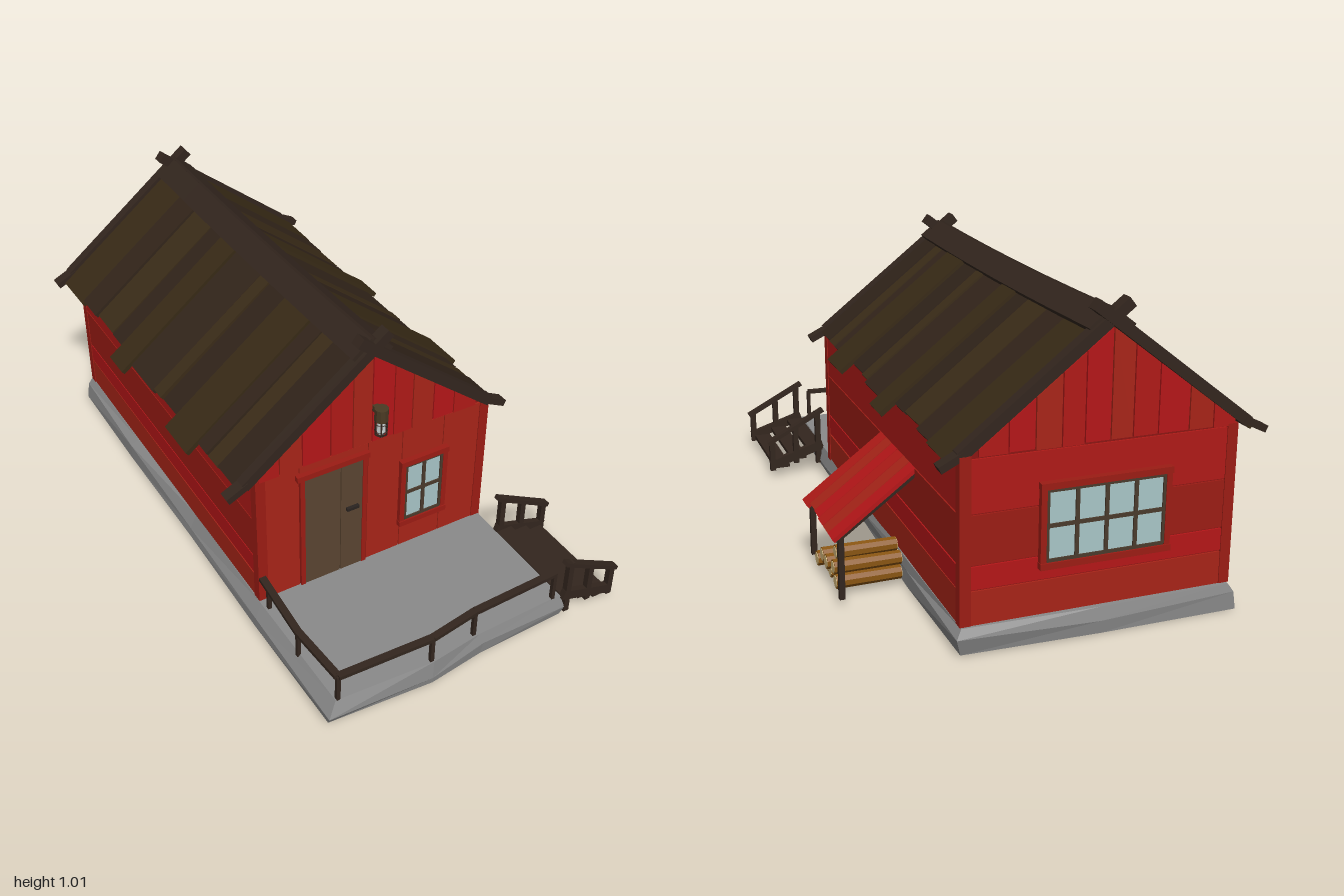
import * as THREE from 'three';

const RED = [0xb01a17, 0xa82418, 0xb51618, 0x9c1c14];
const ROOF = [0x382a16, 0x33251a, 0x3b2c18, 0x302319];
const BEAM = 0x33261e, STONE = 0x8a8a8a, GLASS = 0xa9c6c8;
const RX = -0.1, X0 = -0.505, X1 = 0.345, Z0 = -0.965, Z1 = 0.48;

const mats = {};
const mat = (color) => (mats[color] ??= new THREE.MeshStandardMaterial({ color, flatShading: true }));
const V = (x, y, z) => new THREE.Vector3(x, y, z);

// repeatable irregularity in -1..1
const wob = (i) => Math.sin(i * 12.9898 + 1.7) * Math.cos(i * 4.137);

function add(parent, name, geo, color, x = 0, y = 0, z = 0) {
  const m = new THREE.Mesh(geo, mat(color));
  m.name = name;
  m.position.set(x, y, z);
  parent.add(m);
  return m;
}

const box = (p, name, color, w, h, d, x, y, z) => add(p, name, new THREE.BoxGeometry(w, h, d), color, x, y, z);

// board running from a to b, w wide and h thick, its far end scaled by taper
function beam(p, name, color, a, b, w, h, taper = 1, up = V(0, 1, 0)) {
  const dir = b.clone().sub(a), len = dir.length();
  dir.normalize();
  if (Math.abs(dir.dot(up)) > 0.99) up = V(0, 0, 1);
  const side = up.clone().cross(dir).normalize();
  const geo = new THREE.BoxGeometry(w, h, len), pos = geo.attributes.position;
  for (let i = 0; i < pos.count; i++) if (pos.getZ(i) > 0) pos.setX(i, pos.getX(i) * taper);
  geo.applyMatrix4(new THREE.Matrix4().makeBasis(side, dir.clone().cross(side), dir));
  const c = a.clone().add(b).multiplyScalar(0.5);
  return add(p, name, geo, color, c.x, c.y, c.z);
}

function group(parent, name) {
  const g = new THREE.Group();
  g.name = name;
  parent.add(g);
  return g;
}

function extrude(points, depth) {
  const s = new THREE.Shape(points.map(([x, y]) => new THREE.Vector2(x, y)));
  return new THREE.ExtrudeGeometry(s, { depth, bevelEnabled: false });
}

// rough stone slab: stacked rings around an uneven outline
function foundation(root) {
  const outline = [[-0.51, 0.97], [-0.17, 0.99], [0.02, 0.965], [0.345, 0.955], [0.35, 0.5], [0.345, 0], [0.355, -0.5],
    [0.35, -0.975], [-0.08, -0.985], [-0.51, -0.98], [-0.515, -0.5], [-0.51, 0], [-0.515, 0.5]];
  const n = outline.length, pos = [], idx = [];
  for (let r = 0; r < 3; r++) outline.forEach(([x, z], i) => {
    const out = [0, 0.012 + 0.01 * wob(i), 0.004][r];
    const y = [0.1 + 0.01 * z, 0.06 + 0.015 * wob(i + 5), 0.016 + 0.01 * z + 0.005 * wob(i)][r];
    const left = x < -0.4 ? -0.012 * r : 0;
    pos.push(x + Math.sign(x + 0.08) * out + left, y, THREE.MathUtils.clamp(z + Math.sign(z) * out, -0.995, 0.998));
  });
  for (let r = 0; r < 2; r++) for (let i = 0; i < n; i++) {
    const a = r * n + i, b = r * n + (i + 1) % n;
    idx.push(a, a + n, b, b, a + n, b + n);
  }
  const flat = outline.map(([x, z]) => new THREE.Vector2(x, z));
  for (const [a, b, c] of THREE.ShapeUtils.triangulateShape(flat, [])) {
    const [p, q, s] = [flat[a], flat[b], flat[c]];
    const cw = (q.x - p.x) * (s.y - p.y) - (q.y - p.y) * (s.x - p.x) < 0;
    const [d, e] = cw ? [b, c] : [c, b];
    idx.push(a, d, e, a + 2 * n, e + 2 * n, d + 2 * n);
  }
  const geo = new THREE.BufferGeometry();
  geo.setAttribute('position', new THREE.Float32BufferAttribute(pos, 3));
  geo.setIndex(idx);
  geo.computeVertexNormals();
  add(root, 'foundation', geo, STONE);
}

const gableY = (x) => 0.928 - 0.775 * Math.abs(x - RX);

function walls(root) {
  const g = group(root, 'walls');
  const core = extrude([[X0, 0.08], [X1, 0.08], [X1, gableY(X1)], [RX, gableY(RX)], [X0, gableY(X0)]], Z1 - Z0);
  add(g, 'houseBody', core, 0x8c1512, 0, 0, Z0);
  const cx = (X0 + X1) / 2, w = X1 - X0;
  // horizontal siding on sides and back
  const rows = [0.09, 0.2, 0.275, 0.43, 0.595];
  for (let i = 0; i < 4; i++) {
    const h = rows[i + 1] - rows[i] - 0.005, y = (rows[i] + rows[i + 1]) / 2;
    for (const x of [X0, X1]) box(g, 'sidePlank', RED[(i + 1) % 4], 0.012, h, Z1 - Z0 - 0.03, x, y, (Z0 + Z1) / 2).rotation.x = 0.002 * wob(i);
    box(g, 'backPlank', RED[(i + 1) % 4], w - 0.03, h, 0.012, cx, y, Z0);
  }
  // upright boards on the front
  const fx = [X0, -0.36, -0.11, 0.02, 0.18, X1];
  for (let i = 0; i < 5; i++) box(g, 'frontPlank', RED[1], fx[i + 1] - fx[i] - 0.003, 0.5, 0.012, (fx[i] + fx[i + 1]) / 2, 0.347, Z1);
  for (const x of [X0 + 0.008, X1 - 0.008]) for (const z of [Z0 + 0.008, Z1 - 0.008])
    box(g, 'cornerPost', RED[3], 0.034, 0.51, 0.034, x, 0.348, z);
  // upright gable boards cut to the roof line
  const gx = [X0, -0.43, -0.35, -0.25, -0.17, RX, -0.02, 0.05, 0.13, 0.21, 0.3, X1];
  for (let i = 0; i < gx.length - 1; i++) {
    const a = gx[i] + 0.002, b = gx[i + 1] - 0.002, y = 0.602 - 0.006 * Math.abs(wob(i));
    if (Math.min(gableY(a), gableY(b)) < y) continue;
    const geo = extrude([[a, y], [b, y], [b, gableY(b)], [a, gableY(a)]], 0.012);
    for (const z of [Z0 - 0.008, Z1 - 0.002]) add(g, 'gableBoard', geo, RED[i % 3], 0, 0, z);
  }
}

const sag = (z) => 0.945 + 0.02 * Math.pow(z + 0.35, 2);

function roof(root) {
  const g = group(root, 'roof');
  const zs = [-0.95, -0.77, -0.65, -0.51, -0.42, -0.31, -0.13, -0.07, 0.05, 0.21, 0.28, 0.35, 0.47];
  for (const s of [-1, 1]) {
    for (let i = 0; i < zs.length - 1; i++) {
      const z = (zs[i] + zs[i + 1]) / 2, far = i === 4 || i === 8;
      const lift = far ? 0.012 : 0.004 * wob(i + s);
      const run = (far ? 0.512 : 0.468 + 0.01 * wob(i * 3)) - (s > 0 ? 0.002 : 0);
      const y = sag(z) + lift;
      beam(g, 'roofPlank', ROOF[i % 4], V(RX, y, z), V(RX + s * run, y - run * 0.785, z + 0.006 * wob(i)),
        zs[i + 1] - zs[i] - 0.004, 0.016, 1 + 0.04 * wob(i + 7));
    }
    // sagging ridge cap in short lengths
    for (let i = 0; i < 6; i++) {
      const a = -0.96 + i * 0.24, b = a + 0.242;
      const tilt = V(s * 0.62, 0.785, 0);
      beam(g, 'ridgeCap', BEAM, V(RX + s * 0.033, sag(a) - 0.006, a), V(RX + s * 0.033, sag(b) - 0.006, b), 0.085, 0.02, 1, tilt);
    }
    // crossing barge boards with flared feet
    for (const z of [-0.955, 0.48]) {
      const zz = z + s * 0.003;
      beam(g, 'bargeBoard', BEAM, V(RX - s * 0.055, 0.995, zz), V(RX + s * 0.45, 0.601, zz), 0.04, 0.034, 0.9);
      beam(g, 'bargeFoot', BEAM, V(RX + s * 0.435, 0.609, zz), V(RX + s * 0.51, 0.572, zz), 0.04, 0.022);
    }
  }
}

// framed window facing +z
function windowUnit(root, name, w, h, cols, rows) {
  const g = group(root, name);
  box(g, 'glass', GLASS, w, h, 0.012, 0, 0, 0.004);
  for (let i = 0; i <= cols; i++) box(g, 'upright', 0x4a3a2c, 0.012, h, 0.018, -w / 2 + w * i / cols, 0, 0.006);
  for (let i = 0; i <= rows; i++) box(g, 'crossbar', 0x4a3a2c, w, 0.012, 0.018, 0, -h / 2 + h * i / rows, 0.006);
  for (const s of [-1, 1]) {
    box(g, 'sideTrim', RED[3], 0.018, h + 0.02, 0.022, s * (w / 2 + 0.012), 0, 0.006);
    box(g, 'endTrim', RED[3], w + 0.045, 0.02, 0.026, 0, s * (h / 2 + 0.014), 0.008);
  }
  return g;
}

function frontDetails(root) {
  windowUnit(root, 'frontWindow', 0.14, 0.225, 2, 2).position.set(0.102, 0.34, Z1 + 0.005);
  const back = windowUnit(root, 'backWindow', 0.37, 0.215, 4, 2);
  back.position.set(-0.09, 0.37, Z0 - 0.007);
  back.rotation.y = Math.PI;
  // plank door
  const d = group(root, 'door');
  for (const [x, w] of [[-0.281, 0.13], [-0.173, 0.08]]) box(d, 'doorPlank', 0x5a4531, w, 0.44, 0.016, x, 0.33, Z1 + 0.007);
  for (const x of [-0.354, -0.126]) box(d, 'doorJamb', RED[3], 0.016, 0.45, 0.02, x, 0.335, Z1 + 0.008);
  box(d, 'lintel', RED[3], 0.262, 0.02, 0.028, -0.244, 0.563, Z1 + 0.01);
  box(d, 'handle', 0x2a2320, 0.045, 0.01, 0.012, -0.175, 0.37, Z1 + 0.024);
  // caged lamp
  const l = group(root, 'lamp');
  l.position.set(-0.092, 0, 0.528);
  add(l, 'lampCap', new THREE.CylinderGeometry(0.023, 0.023, 0.045, 10), 0x4a3a24, 0, 0.732, 0);
  box(l, 'lampArm', 0x4a3a24, 0.02, 0.02, 0.045, 0, 0.735, -0.025);
  add(l, 'lampGlass', new THREE.CapsuleGeometry(0.014, 0.035, 3, 8), 0xd0d8d8, 0, 0.684, 0);
  for (const y of [0.698, 0.67]) add(l, 'cageRing', new THREE.TorusGeometry(0.02, 0.002, 4, 10), BEAM, 0, y, 0).rotation.x = Math.PI / 2;
  for (let i = 0; i < 6; i++) {
    const c = Math.cos(i * Math.PI / 3), s = Math.sin(i * Math.PI / 3);
    beam(l, 'cageBar', BEAM, V(0.02 * c, 0.715, 0.02 * s), V(0.02 * c, 0.658, 0.02 * s), 0.004, 0.004);
    beam(l, 'cageBar', BEAM, V(0.02 * c, 0.658, 0.02 * s), V(0, 0.642, 0), 0.004, 0.004);
  }
}

function porch(root) {
  const g = group(root, 'porchRailing');
  const path = [V(-0.5, 0.2, 0.48), V(-0.515, 0.202, 0.75), V(-0.5, 0.205, 0.965), V(-0.175, 0.208, 0.98), V(0, 0.211, 0.955), V(0.315, 0.218, 0.95)];
  for (let i = 0; i < path.length - 1; i++) beam(g, 'rail', BEAM, path[i], path[i + 1], 0.024, 0.013);
  for (const p of [V(-0.5, 0.2, 0.53), ...path.slice(1)])
    beam(g, 'railPost', BEAM, V(p.x, 0.1, p.z), p, 0.013, 0.013);
  // side steps
  const s = group(root, 'steps');
  for (let i = 0; i < 3; i++) box(s, 'tread', BEAM, 0.06, 0.014, 0.38, 0.38 + i * 0.067, 0.1 - i * 0.027, 0.775);
  for (const z of [0.595, 0.96]) {
    beam(s, 'stringer', BEAM, V(0.35, 0.115, z), V(0.555, 0.05, z), 0.02, 0.034);
    beam(s, 'handrail', BEAM, V(0.345, 0.255, z), V(0.565, 0.14, z), 0.028, 0.014);
    for (const [x, y0, y1] of [[0.367, 0.04, 0.25], [0.455, 0.05, 0.198], [0.548, 0.03, 0.15]])
      beam(s, 'stepPost', BEAM, V(x, y0, z), V(x, y1, z), 0.02, 0.02);
  }
}

function woodShelter(root) {
  const g = group(root, 'woodShelter');
  for (const z of [-0.21, -0.56]) {
    beam(g, 'shelterPost', BEAM, V(0.585, 0.03, z), V(0.585, 0.24, z), 0.018, 0.018);
    beam(g, 'shelterRafter', BEAM, V(0.345, 0.408, z), V(0.6, 0.222, z), 0.014, 0.012);
  }
  for (let i = 0; i < 6; i++) {
    const z = -0.24 - i * 0.0605, e = 0.008 * wob(i);
    beam(g, 'shelterPlank', RED[i % 3], V(0.345, 0.424, z), V(0.607 + e, 0.228 - e * 0.7, z + 0.003 * wob(i + 2)), 0.056, 0.013, 1.04);
  }
  // stacked logs
  const logs = [[-0.29, 0.05], [-0.4, 0.055], [-0.475, 0.05], [-0.345, 0.05], [-0.355, 0.09], [-0.46, 0.092], [-0.42, 0.122], [-0.405, 0.088]];
  logs.forEach(([z, y], i) => {
    const len = 0.215 + 0.02 * wob(i), x = 0.475 + 0.012 * wob(i + 3);
    add(g, 'log', new THREE.CylinderGeometry(0.023, 0.025, len, 9), 0x8a5512, x, y, z).rotation.z = Math.PI / 2;
    for (const s of [-1, 1])
      add(g, 'logEnd', new THREE.CylinderGeometry(0.02, 0.02, 0.004, 9), 0xd2b67c, x + s * len / 2, y, z).rotation.z = Math.PI / 2;
  });
}

export function createModel() {
  const root = new THREE.Group();
  root.name = 'cabin';
  [foundation, walls, roof, frontDetails, porch, woodShelter].forEach((build) => build(root));
  return root;
}
